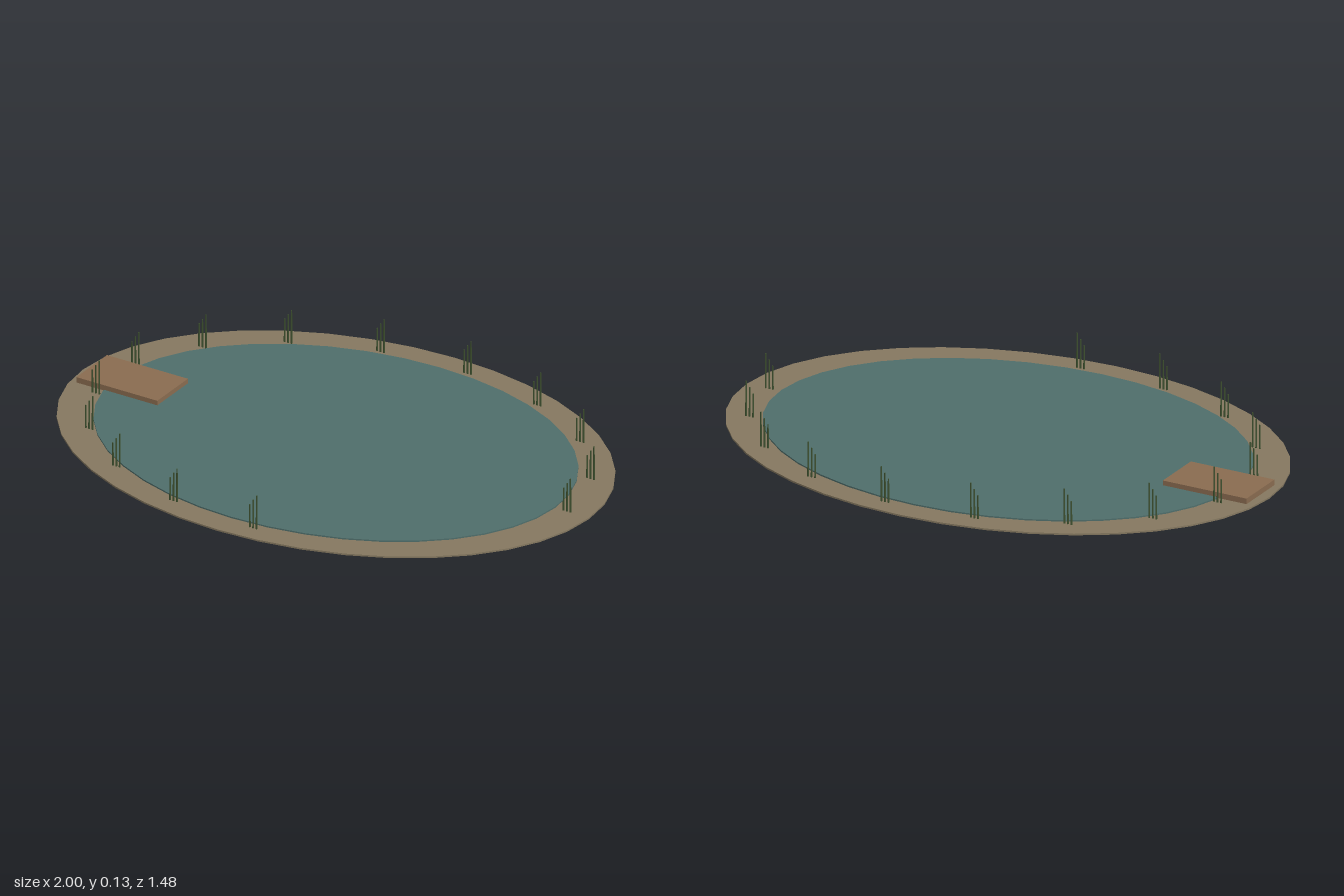
import * as THREE from 'three';

const BANK_TOP = 0.006;
const WATER_TOP = 0.011;

function addMesh(parent, name, geometry, color) {
  const mesh = new THREE.Mesh(geometry, new THREE.MeshStandardMaterial({ color }));
  mesh.name = name;
  parent.add(mesh);
  return mesh;
}

// Flat elliptical slab between two heights
function ellipseSlab(rx, rz, y0, y1) {
  return new THREE.CylinderGeometry(1, 1, y1 - y0, 40)
    .scale(rx, 1, rz)
    .translate(0, (y0 + y1) / 2, 0);
}

export function createModel() {
  const pond = new THREE.Group();
  pond.name = 'pond';

  // Earth bank and the water lying slightly above it
  addMesh(pond, 'bank', ellipseSlab(1, 0.738, 0, BANK_TOP), 0x857860);
  addMesh(pond, 'water', ellipseSlab(0.867, 0.644, 0.003, WATER_TOP), 0x4f6e6b);

  // Small wooden dock reaching over the water
  const dock = addMesh(pond, 'dock', new THREE.BoxGeometry(0.32, 0.02, 0.19), 0x8a6c50);
  dock.position.set(-0.806, 0.018, 0);

  // Reed clumps spaced around the shore, with a gap at the front left
  const reeds = new THREE.Group();
  reeds.name = 'reeds';
  pond.add(reeds);
  const count = 17;
  for (let i = 0; i < count; i++) {
    if (i >= 1 && i <= 3) continue;
    const angle = (i / count) * Math.PI * 2;
    const clump = new THREE.Group();
    clump.name = 'reedClump';
    clump.position.set(0.9 * Math.cos(angle), BANK_TOP, 0.667 * Math.sin(angle));
    reeds.add(clump);

    // Three upright stalks, taller toward the left
    for (let k = 0; k < 3; k++) {
      const height = 0.085 + k * 0.02;
      const stalk = addMesh(clump, 'reedStalk', new THREE.CylinderGeometry(0.0025, 0.0035, height, 5), 0x3f5230);
      stalk.position.set(k * 0.0135, height / 2, 0);
    }
  }
  return pond;
}
